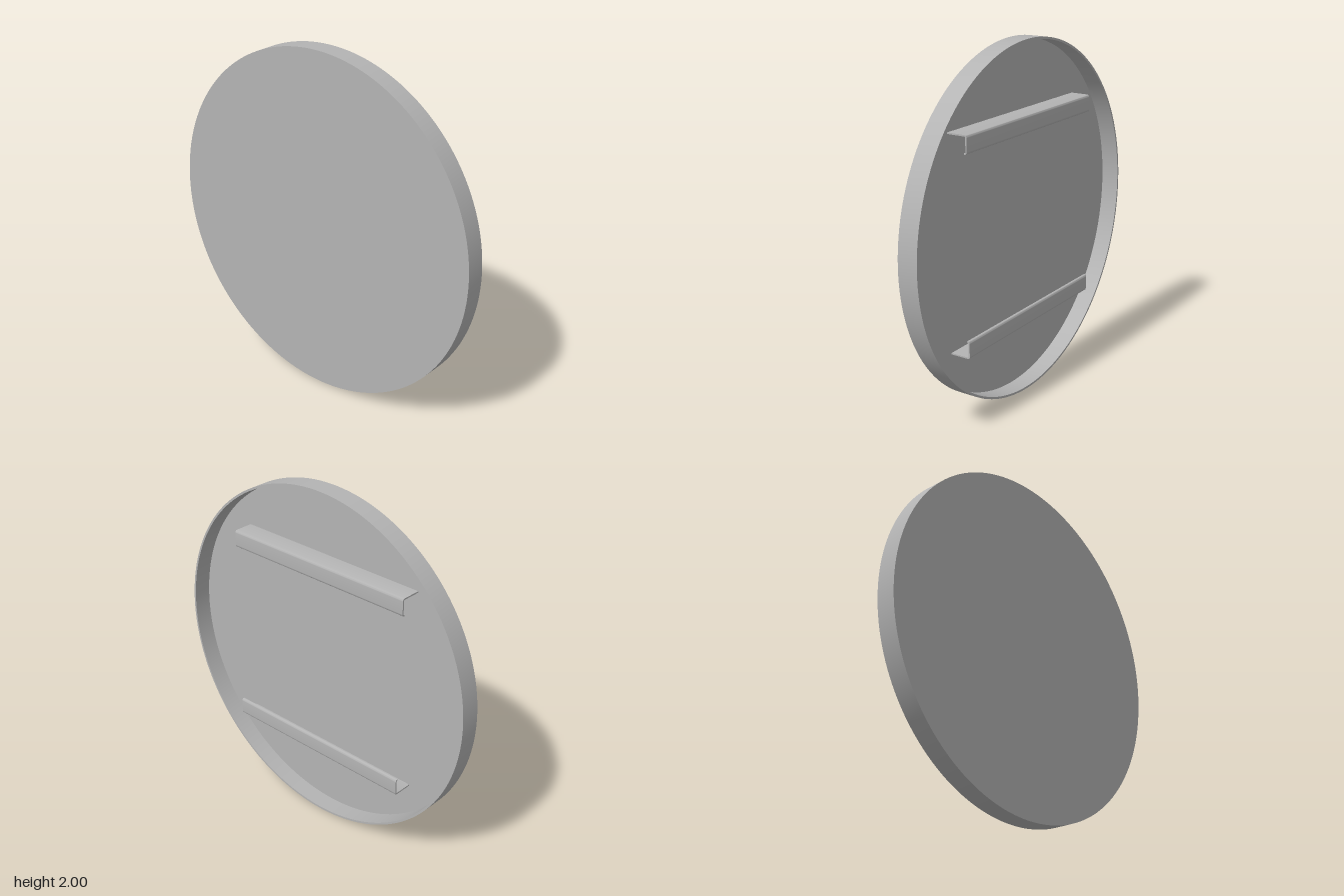
import * as THREE from 'three';
import { toCreasedNormals } from 'three/addons/utils/BufferGeometryUtils.js';

const FRONT = 0.065, BACK = -0.052, INNER = 0.053; // z of face, rim edge and inside of the face

export function createModel() {
  const group = new THREE.Group();
  const grey = new THREE.MeshStandardMaterial({ color: 0xb4b4b4 });
  grey.name = 'grey';

  const add = (name, geometry, y) => {
    const mesh = new THREE.Mesh(toCreasedNormals(geometry, 0.6), grey);
    mesh.name = name;
    mesh.position.y = y;
    group.add(mesh);
  };

  // Shallow round pan: thin face with a rim turned to the back
  const profile = [
    [0, INNER], [0.988, INNER], [0.988, BACK], [1, BACK], [1, FRONT], [0, FRONT],
  ].map(([r, z]) => new THREE.Vector2(r, z));
  add('discPan', new THREE.LatheGeometry(profile, 160).rotateX(Math.PI / 2), 1);

  // Folded rail: flange from the face, rounded bend, upright strip, small return lip
  const rail = (s) => {
    const out = 0.065, t = 0.008, r = 0.014, h = 0.1, lip = 0.05;
    const p = new THREE.Shape();
    p.moveTo(-INNER, 0);
    p.lineTo(out - r, 0);
    p.quadraticCurveTo(out, 0, out, -s * r);
    p.lineTo(out, -s * (h - r));
    p.quadraticCurveTo(out, -s * h, out - r, -s * h);
    p.lineTo(lip, -s * h);
    p.lineTo(lip, -s * (h - t));
    p.lineTo(out - r, -s * (h - t));
    p.quadraticCurveTo(out - t, -s * (h - t), out - t, -s * (h - r));
    p.lineTo(out - t, -s * r);
    p.quadraticCurveTo(out - t, -s * t, out - r, -s * t);
    p.lineTo(-INNER, -s * t);
    p.closePath();
    return new THREE.ExtrudeGeometry(p, { depth: 1.2, bevelEnabled: false, curveSegments: 6 })
      .translate(0, 0, -0.6)
      .rotateY(Math.PI / 2);
  };
  add('upperRail', rail(1), 1.6);
  add('lowerRail', rail(-1), 0.4);

  return group;
}
